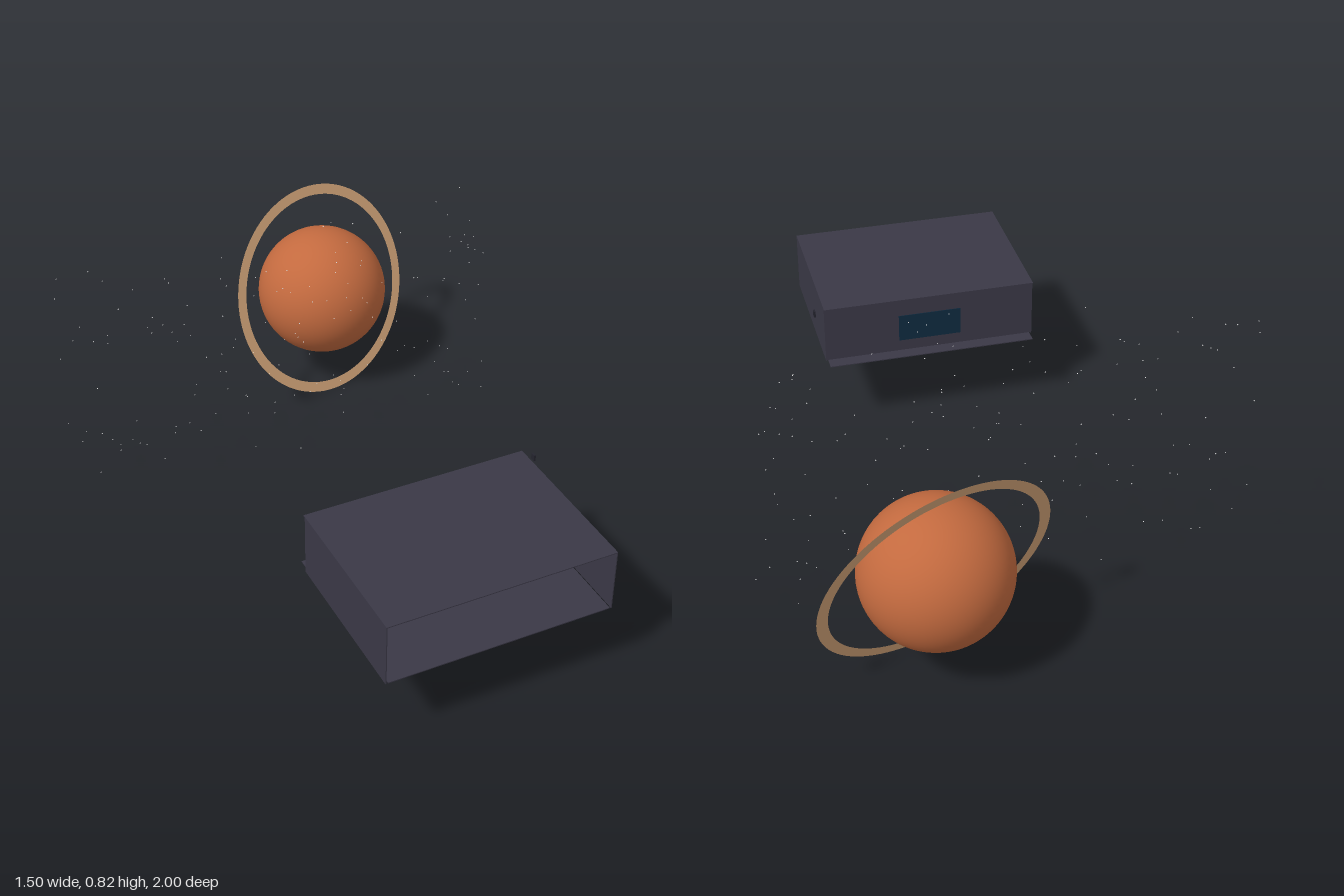
import * as THREE from 'three';

const mat = (name, color, side = THREE.FrontSide) => {
  const m = new THREE.MeshStandardMaterial({ color, side });
  m.name = name;
  return m;
};

export function createModel() {
  const M = {
    hull: mat('hull slate', 0x3a3846),
    dark: mat('dark panel', 0x24242e),
    rust: mat('planet rust', 0xc36a3f),
    sand: mat('sand', 0xd4a67a, THREE.DoubleSide),
    glass: mat('window blue', 0x0f2a40),
    steel: mat('steel', 0x616a75),
    cream: mat('cream', 0xe9dcc4),
    orange: mat('orange', 0xd0662a),
    teal: mat('teal grey', 0x3c494a),
    white: mat('star white', 0xffffff),
  };
  const model = new THREE.Group();
  model.name = 'spaceCabinAndPlanet';
  const group = (name, parent = model) => {
    const g = new THREE.Group();
    g.name = name;
    parent.add(g);
    return g;
  };
  const add = (parent, name, geo, material, x = 0, y = 0, z = 0) => {
    const m = new THREE.Mesh(geo, material);
    m.name = name;
    m.position.set(x, y, z);
    parent.add(m);
    return m;
  };
  // Box given by its lower and upper corners
  const box = (parent, name, material, x0, x1, y0, y1, z0, z1) =>
    add(parent, name, new THREE.BoxGeometry(x1 - x0, y1 - y0, z1 - z0), material,
      (x0 + x1) / 2, (y0 + y1) / 2, (z0 + z1) / 2);

  // Planet and tilted flat ring
  const planet = group('ringedPlanet');
  planet.position.set(0.294, 0.35, -0.778);
  add(planet, 'planet', new THREE.SphereGeometry(0.222, 64, 40), M.rust);
  const ring = add(planet, 'planetRing', new THREE.RingGeometry(0.332, 0.367, 96), M.sand);
  ring.quaternion.setFromUnitVectors(new THREE.Vector3(0, 0, 1),
    new THREE.Vector3(0.28, 0.31, 0.907).normalize());

  // Star field
  let seed = 7;
  const rnd = () => (seed = (seed * 16807) % 2147483647) / 2147483647;
  const stars = group('stars');
  const starGeo = new THREE.OctahedronGeometry(0.0022);
  for (let i = 0; i < 150; i++) {
    add(stars, 'star', starGeo, M.white,
      -0.75 + 1.51 * rnd(), 0.07 + 0.75 * rnd(), -0.53 + 0.26 * rnd());
  }

  // Cabin shell, open at the front
  const cabin = group('cabin');
  box(cabin, 'floor', M.hull, -0.34, 0.358, 0.253, 0.256, 0.442, 1);
  box(cabin, 'roof', M.hull, -0.348, 0.365, 0.452, 0.455, 0.478, 1);
  box(cabin, 'rightWall', M.hull, -0.348, -0.345, 0.253, 0.452, 0.486, 1);
  box(cabin, 'leftWall', M.hull, 0.362, 0.365, 0.253, 0.452, 0.486, 1);
  box(cabin, 'backWall', M.hull, -0.345, 0.362, 0.256, 0.452, 0.486, 0.49);

  // Wall seams and ceiling conduit
  for (let i = 0; i < 15; i++) {
    const x = -0.325 + i * 0.047;
    box(cabin, 'wallSeam', M.dark, x, x + 0.004, 0.256, 0.428, 0.49, 0.493);
  }
  box(cabin, 'skirting', M.dark, -0.345, 0.362, 0.256, 0.263, 0.49, 0.494);
  box(cabin, 'ceilingConduit', M.teal, -0.342, 0.36, 0.432, 0.442, 0.49, 0.502);
  for (let i = 0; i < 5; i++) {
    const x = -0.245 + i * 0.159;
    box(cabin, 'conduitClamp', M.dark, x, x + 0.006, 0.426, 0.446, 0.49, 0.506);
  }

  // Window with frame, seen from both sides of the back wall
  const win = group('window', cabin);
  box(win, 'glass', M.glass, -0.098, 0.114, 0.295, 0.39, 0.484, 0.493);
  for (const [x0, x1, y0, y1] of [
    [-0.098, 0.114, 0.385, 0.39], [-0.098, 0.114, 0.295, 0.3],
    [-0.098, -0.092, 0.295, 0.39], [0.108, 0.114, 0.295, 0.39],
  ]) box(win, 'windowFrame', M.steel, x0, x1, y0, y1, 0.49, 0.498);
  for (const [x, y] of [[-0.06, 0.372], [0.018, 0.34], [0.08, 0.36], [0.05, 0.318]])
    box(win, 'windowStar', M.white, x, x + 0.003, y, y + 0.003, 0.483, 0.494);

  // Toothed wheels on the wall
  const gear = (name, material, x, y, r, teeth) => {
    const s = new THREE.Shape();
    for (let i = 0; i < teeth * 4; i++) {
      const a = (i / (teeth * 4)) * Math.PI * 2;
      const q = i % 4 < 2 ? r : r * 0.8;
      s[i ? 'lineTo' : 'moveTo'](Math.cos(a) * q, Math.sin(a) * q);
    }
    s.closePath();
    s.holes.push(new THREE.Path().absarc(0, 0, r * 0.24, 0, Math.PI * 2, true));
    add(cabin, name, new THREE.ExtrudeGeometry(s, { depth: 0.007, bevelEnabled: false }),
      material, x, y, 0.493);
  };
  gear('largeGear', M.sand, -0.203, 0.4, 0.028, 12);
  gear('steelGear', M.steel, -0.155, 0.383, 0.021, 10);
  gear('smallGear', M.sand, 0.267, 0.287, 0.015, 9);

  // Notice boards made of plain bars
  const bars = (x, top, widths, materials) => widths.forEach((w, i) =>
    box(cabin, 'noticeBar', materials[i % materials.length], x, x + w,
      top - i * 0.008 - 0.005, top - i * 0.008, 0.493, 0.496));
  bars(-0.283, 0.404, [0.04, 0.048, 0.036, 0.046], [M.white]);
  bars(-0.283, 0.354, [0.028, 0.042, 0.022, 0.04], [M.sand, M.cream]);
  box(cabin, 'nameplate', M.cream, 0.17, 0.24, 0.383, 0.4, 0.49, 0.496);
  for (const y of [0.387, 0.393])
    box(cabin, 'nameplateLine', M.dark, 0.176, 0.234, y, y + 0.002, 0.496, 0.498);

  // Right-hand instrument rack
  const rack = group('instrumentRack', cabin);
  box(rack, 'rackBody', M.dark, -0.172, -0.102, 0.287, 0.352, 0.49, 0.512);
  for (let r = 0; r < 3; r++) {
    const y = 0.294 + r * 0.02;
    box(rack, 'rackShelf', M.steel, -0.168, -0.106, y - 0.004, y - 0.002, 0.512, 0.516);
    [M.orange, M.teal, M.cream, M.orange].forEach((m, c) => {
      const x = -0.165 + c * 0.015 + (r % 2) * 0.003;
      box(rack, 'rackSwitch', m, x, x + 0.009, y, y + 0.005, 0.512, 0.516);
    });
  }

  // Tool panel with a row of bottles
  const panel = group('toolPanel', cabin);
  box(panel, 'panelBack', M.steel, 0.126, 0.25, 0.295, 0.363, 0.49, 0.498);
  box(panel, 'panelShelf', M.dark, 0.126, 0.25, 0.293, 0.297, 0.49, 0.52);
  [M.orange, M.cream, M.glass, M.sand, M.white, M.orange, M.teal].forEach((m, i) => {
    const h = 0.014 + (i % 3) * 0.004;
    add(panel, 'bottle', new THREE.CylinderGeometry(0.004, 0.005, h, 12), m,
      0.137 + i * 0.017, 0.297 + h / 2, 0.509);
  });
  box(cabin, 'storageCrate', M.orange, 0.207, 0.243, 0.257, 0.29, 0.49, 0.525);
  box(cabin, 'crateLid', M.rust, 0.205, 0.245, 0.287, 0.292, 0.49, 0.527);

  // Small wall cubbies
  for (const y of [0.335, 0.3, 0.275]) {
    box(cabin, 'cubby', M.steel, 0.3, 0.327, y, y + 0.019, 0.49, 0.505);
    box(cabin, 'cubbyFace', y === 0.3 ? M.cream : M.sand, 0.306, 0.321, y + 0.004, y + 0.013, 0.505, 0.507);
  }

  // Desk, lamp and stool below the window
  const desk = group('desk', cabin);
  box(desk, 'deskTop', M.dark, -0.027, 0.095, 0.286, 0.291, 0.5, 0.56);
  for (const x of [-0.02, 0.085])
    for (const z of [0.506, 0.55])
      box(desk, 'deskLeg', M.rust, x, x + 0.005, 0.256, 0.286, z, z + 0.005);
  box(desk, 'deskPaper', M.cream, 0.012, 0.036, 0.291, 0.3, 0.52, 0.524);
  add(desk, 'lampPole', new THREE.CylinderGeometry(0.0015, 0.0015, 0.06, 8), M.dark, 0.02, 0.32, 0.515);
  add(desk, 'lampShade', new THREE.ConeGeometry(0.008, 0.012, 16), M.dark, 0.02, 0.354, 0.515);
  add(desk, 'stoolSeat', new THREE.CylinderGeometry(0.02, 0.02, 0.006, 20), M.dark, 0.03, 0.277, 0.6);
  add(desk, 'stoolPost', new THREE.CylinderGeometry(0.003, 0.006, 0.02, 10), M.steel, 0.03, 0.265, 0.6);

  return model;
}
